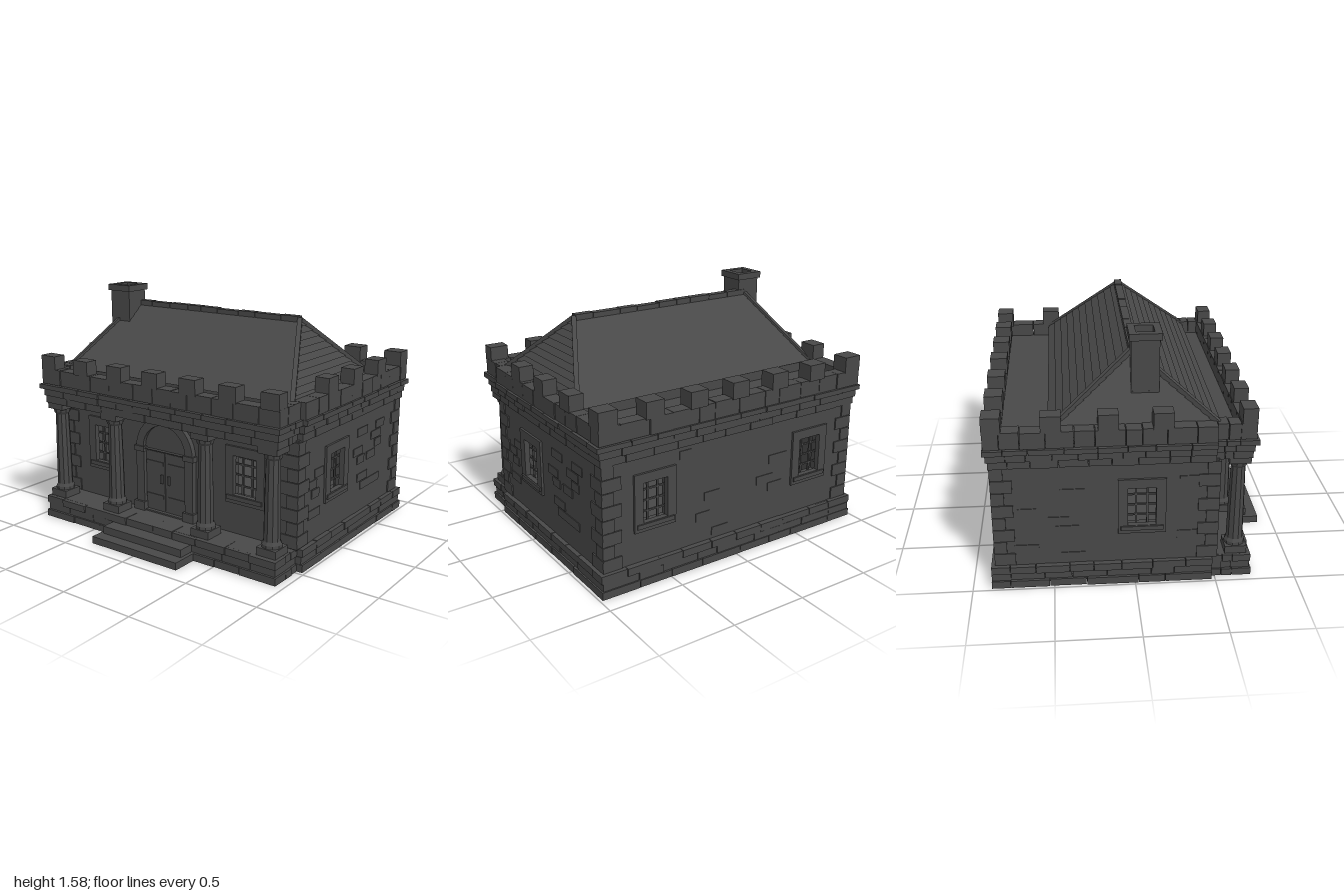
import * as THREE from 'three';

const stone = new THREE.MeshStandardMaterial({ color: 0x484848 });
stone.name = 'darkStone';

// small seeded generator for uneven masonry
let seed = 7;
const rnd = () => (seed = (seed * 16807) % 2147483647) / 2147483647;

function add(parent, name, geometry, x = 0, y = 0, z = 0) {
  const m = new THREE.Mesh(geometry, stone);
  m.name = name;
  m.position.set(x, y, z);
  parent.add(m);
  return m;
}
// box given by its extents
function block(parent, name, x0, x1, y0, y1, z0, z1) {
  return add(parent, name, new THREE.BoxGeometry(x1 - x0, y1 - y0, z1 - z0),
    (x0 + x1) / 2, (y0 + y1) / 2, (z0 + z1) / 2);
}
function group(parent, name) {
  const g = new THREE.Group();
  g.name = name;
  parent.add(g);
  return g;
}
function rectPath(x0, x1, y0, y1, Type = THREE.Path) {
  const p = new Type();
  p.moveTo(x0, y0); p.lineTo(x1, y0); p.lineTo(x1, y1); p.lineTo(x0, y1); p.closePath();
  return p;
}
const extrude = (shape, depth) =>
  new THREE.ExtrudeGeometry(shape, { depth, bevelEnabled: false, curveSegments: 10 });

// uneven split of an interval into n blocks
function split(a, b, n) {
  const cuts = [a];
  for (let i = 1; i < n; i++) cuts.push(a + (b - a) * (i + (rnd() - 0.5) * 0.4) / n);
  return [...cuts, b];
}

// course of stones around the plan; the porch end is a little narrower
function course(parent, name, half, back, front, y0, y1, depth, n = 10) {
  const g = group(parent, name), gap = 0.002, porch = half - 0.035;
  const jit = () => rnd() * 0.008;
  const xs = split(-half, half, n), fs = split(-porch, porch, n);
  for (let i = 0; i < n; i++) {
    block(g, 'backStone', xs[i] + gap, xs[i + 1] - gap, y0, y1 - jit() / 2, back + jit(), back + depth);
    block(g, 'frontStone', fs[i] + gap, fs[i + 1] - gap, y0, y1 - jit() / 2, front - depth, front - jit());
  }
  for (const s of [-1, 1]) {
    const zs = [...split(back + depth, 0.48, n - 3), ...split(0.48, front - depth, 2).slice(1)];
    for (let i = 0; i + 1 < zs.length; i++) {
      const h = (zs[i] > 0.47 ? porch : half) - jit();
      const m = block(g, 'sideStone', h - depth, h, y0, y1 - jit() / 2, zs[i] + gap, zs[i + 1] - gap);
      m.position.x *= s;
    }
  }
}

const WIN = { w: 0.1, y0: 0.39, y1: 0.67 };

// barred window with a stone surround
function windowUnit(parent, x) {
  const g = group(parent, 'window');
  g.position.x = x;
  const { w, y0, y1 } = WIN;
  const frame = rectPath(-w - 0.045, w + 0.045, y0 - 0.04, y1 + 0.05, THREE.Shape);
  frame.holes.push(rectPath(-w + 0.015, w - 0.015, y0 + 0.015, y1 - 0.01));
  add(g, 'surround', extrude(frame, 0.035), 0, 0, -0.02);
  block(g, 'sill', -w - 0.03, w + 0.03, y0 - 0.015, y0 + 0.012, -0.02, 0.025);
  for (const bx of [-0.035, 0.035]) block(g, 'uprightBar', bx - 0.006, bx + 0.006, y0, y1, -0.03, -0.018);
  for (let i = 1; i < 4; i++) {
    const y = y0 + (y1 - y0) * i / 4;
    block(g, 'crossBar', -w, w, y - 0.005, y + 0.005, -0.032, -0.02);
  }
}

// wall in its own plane, facing local +z
function wall(parent, name, width, windows, x, z, turn, keepOut = 0) {
  const g = group(parent, name), h = width / 2;
  g.position.set(x, 0, z);
  g.rotation.y = turn;
  const s = rectPath(-h, h, 0.14, 0.83, THREE.Shape);
  for (const wx of windows) s.holes.push(rectPath(wx - WIN.w, wx + WIN.w, WIN.y0, WIN.y1));
  add(g, 'wallPanel', extrude(s, 0.07), 0, 0, -0.07);
  for (const wx of windows) windowUnit(g, wx);
  // scattered raised stones
  for (let i = 0; i < 26; i++) {
    const w = 0.08 + rnd() * 0.07, sx = (rnd() - 0.5) * (width - 0.3), row = Math.floor(rnd() * 10);
    const y = 0.17 + row * 0.063;
    if (windows.some(wx => Math.abs(sx - wx) < 0.15 + w / 2) || Math.abs(sx) < keepOut + w / 2) continue;
    block(g, 'raisedStone', sx - w / 2, sx + w / 2, y, y + 0.055, -0.01, 0.005);
  }
  // corner stones, alternately long and short
  for (const e of [-1, 1]) for (let i = 0; i < 8; i++) {
    const w = i % 2 ? 0.07 : 0.12, y = 0.15 + i * 0.084;
    const m = block(g, 'cornerStone', h - w, h + 0.008, y + 0.002, y + 0.082, -0.05, 0.009);
    m.position.x *= e;
  }
}

// four-sided frustum from two rectangles [x0, x1, z0, z1]
function frustum(a, b, y0, y1) {
  const geo = new THREE.BoxGeometry(1, 1, 1), p = geo.attributes.position;
  for (let i = 0; i < p.count; i++) {
    const r = p.getY(i) > 0 ? b : a;
    p.setXYZ(i, p.getX(i) > 0 ? r[1] : r[0], p.getY(i) > 0 ? y1 : y0, p.getZ(i) > 0 ? r[3] : r[2]);
  }
  geo.computeVertexNormals();
  return geo;
}

// square beam between two points
function beam(parent, name, a, b, size) {
  const m = add(parent, name, new THREE.BoxGeometry(size, size, a.distanceTo(b)));
  m.position.copy(a).add(b).multiplyScalar(0.5);
  m.lookAt(b);
}

function column(parent, x) {
  const g = group(parent, 'column');
  g.position.set(x, 0, 0.63);
  block(g, 'columnPlinth', -0.068, 0.068, 0.15, 0.2, -0.068, 0.068);
  const profile = [[0, 0.2], [0.064, 0.2], [0.064, 0.22], [0.053, 0.24], [0.05, 0.5], [0.045, 0.74],
    [0.055, 0.755], [0.06, 0.785], [0, 0.785]].map(p => new THREE.Vector2(...p));
  const shaft = new THREE.LatheGeometry(profile, 10).toNonIndexed();
  shaft.computeVertexNormals();
  add(g, 'columnShaft', shaft);
  block(g, 'capital', -0.066, 0.066, 0.78, 0.825, -0.066, 0.066);
}

function door(parent) {
  const g = group(parent, 'doorway');
  g.position.set(-0.04, 0, 0.5);
  const arch = r => {
    const s = new THREE.Shape();
    s.moveTo(-r, 0.15); s.lineTo(r, 0.15); s.lineTo(r, 0.58);
    s.absarc(0, 0.58, r, 0, Math.PI, false);
    s.closePath();
    return s;
  };
  const frame = arch(0.235);
  frame.holes.push(rectPath(-0.17, 0.17, 0.16, 0.58));
  const opening = new THREE.Shape();
  opening.absarc(0, 0.585, 0.175, 0, Math.PI, false);
  frame.holes.push(opening);
  add(g, 'archSurround', extrude(frame, 0.035));
  add(g, 'doorPanel', extrude(arch(0.18), 0.01));
  for (const s of [-1, 1]) {
    block(g, 'jambBase', s * 0.205 - 0.045, s * 0.205 + 0.045, 0.15, 0.21, 0, 0.05);
    block(g, 'jambCapital', s * 0.205 - 0.042, s * 0.205 + 0.042, 0.56, 0.595, 0, 0.045);
    block(g, 'doorLeaf', s * 0.083 - 0.075, s * 0.083 + 0.075, 0.17, 0.57, 0, 0.016);
    block(g, 'doorHandle', s * 0.03 - 0.008, s * 0.03 + 0.008, 0.36, 0.42, 0.01, 0.03);
    for (const y of [0.25, 0.48]) block(g, 'doorStrap', s * 0.09 - 0.07, s * 0.09 + 0.07, y, y + 0.025, 0.01, 0.022);
  }
}

function roof(parent) {
  const g = group(parent, 'roof'), n = 11, yBase = 1.04, yTop = 1.45;
  const at = (t, out = 0) => [-0.9 + 0.2 * t - out, 0.9 - 0.26 * t + out, -0.5 * (1 - t) - out, 0.5 * (1 - t) + out];
  block(g, 'roofFooting', -0.88, 0.88, 0.95, yBase, -0.48, 0.48);
  for (let i = 0; i < n; i++) {
    const t0 = i / n, t1 = (i + 1) / n, H = yTop - yBase;
    add(g, 'shingleCourse', frustum(at(t0, 0.009), at(t1, 0.001), yBase + H * t0, yBase + H * t1));
  }
  // ridge and hip caps
  const xs = split(-0.7, 0.64, 9);
  for (let i = 0; i < 9; i++)
    block(g, 'ridgeCap', xs[i] + 0.002, xs[i + 1] - 0.002, 1.43, 1.462 + rnd() * 0.008, -0.025, 0.025);
  for (const [rx, ex] of [[-0.7, -0.9], [0.64, 0.9]]) for (const z of [-0.5, 0.5])
    beam(g, 'hipCap', new THREE.Vector3(ex, yBase, z), new THREE.Vector3(rx, yTop, 0), 0.03);
}

function chimney(parent) {
  const g = group(parent, 'chimney');
  g.position.set(-0.735, 0, 0.065);
  const tube = (name, r, hole, y0, y1) => {
    const s = rectPath(-r, r, -r, r, THREE.Shape);
    s.holes.push(rectPath(-hole, hole, -hole, hole));
    add(g, name, extrude(s, y1 - y0).rotateX(-Math.PI / 2), 0, y0, 0);
  };
  tube('chimneyShaft', 0.083, 0.055, 1.05, 1.545);
  tube('chimneyCap', 0.097, 0.055, 1.54, 1.582);
  block(g, 'flueFloor', -0.06, 0.06, 1.44, 1.46, -0.06, 0.06);
}

export function createModel() {
  const model = new THREE.Group();
  model.name = 'stoneHouse';

  // plinth and entrance steps
  block(model, 'floor', -0.93, 0.93, 0.002, 0.147, -0.86, 0.7);
  course(model, 'lowerPlinth', 0.985, -0.89, 0.73, 0, 0.05, 0.12, 8);
  course(model, 'middlePlinth', 0.975, -0.885, 0.72, 0.05, 0.1, 0.12, 9);
  course(model, 'upperPlinth', 0.985, -0.888, 0.73, 0.1, 0.15, 0.12, 10);
  block(model, 'lowerStep', -0.35, 0.345, 0, 0.048, 0.6, 0.9);
  block(model, 'upperStep', -0.325, 0.32, 0.048, 0.098, 0.6, 0.82);

  // walls around the hollow room
  wall(model, 'frontWall', 1.9, [-0.58, 0.58], 0, 0.5, 0, 0.3);
  wall(model, 'backWall', 1.9, [-0.6, 0.6], 0, -0.85, Math.PI);
  wall(model, 'leftWall', 1.35, [-0.215], 0.95, -0.175, Math.PI / 2);
  wall(model, 'rightWall', 1.35, [0.215], -0.95, -0.175, -Math.PI / 2);
  door(model);
  for (const x of [-0.86, -0.37, 0.37, 0.86]) column(model, x);

  // entablature, cornice and parapet
  block(model, 'roofDeck', -0.92, 0.92, 0.825, 0.97, -0.85, 0.68);
  course(model, 'frieze', 0.97, -0.87, 0.705, 0.82, 0.87, 0.12, 11);
  course(model, 'upperFrieze', 0.98, -0.88, 0.715, 0.87, 0.92, 0.12, 12);
  course(model, 'cornice', 1, -0.892, 0.735, 0.92, 0.955, 0.12, 10);
  course(model, 'parapet', 0.985, -0.885, 0.715, 0.955, 1.06, 0.095, 12);

  // battlements
  const merlons = group(model, 'battlements');
  for (let i = -3; i <= 3; i++) {
    const xb = i * 0.307, xf = i * 0.295;
    block(merlons, 'backMerlon', xb - 0.062, xb + 0.062, 1.05, 1.155, -0.885, -0.775);
    block(merlons, 'frontMerlon', xf - 0.062, xf + 0.062, 1.05, 1.15, 0.625, 0.715);
  }
  for (const s of [-1, 1]) for (const z of [0.16, -0.16, -0.49])
    block(merlons, 'sideMerlon', s * 0.935 - 0.048, s * 0.935 + 0.048, 1.05, 1.155, z - 0.06, z + 0.06);

  roof(model);
  chimney(model);
  return model;
}
